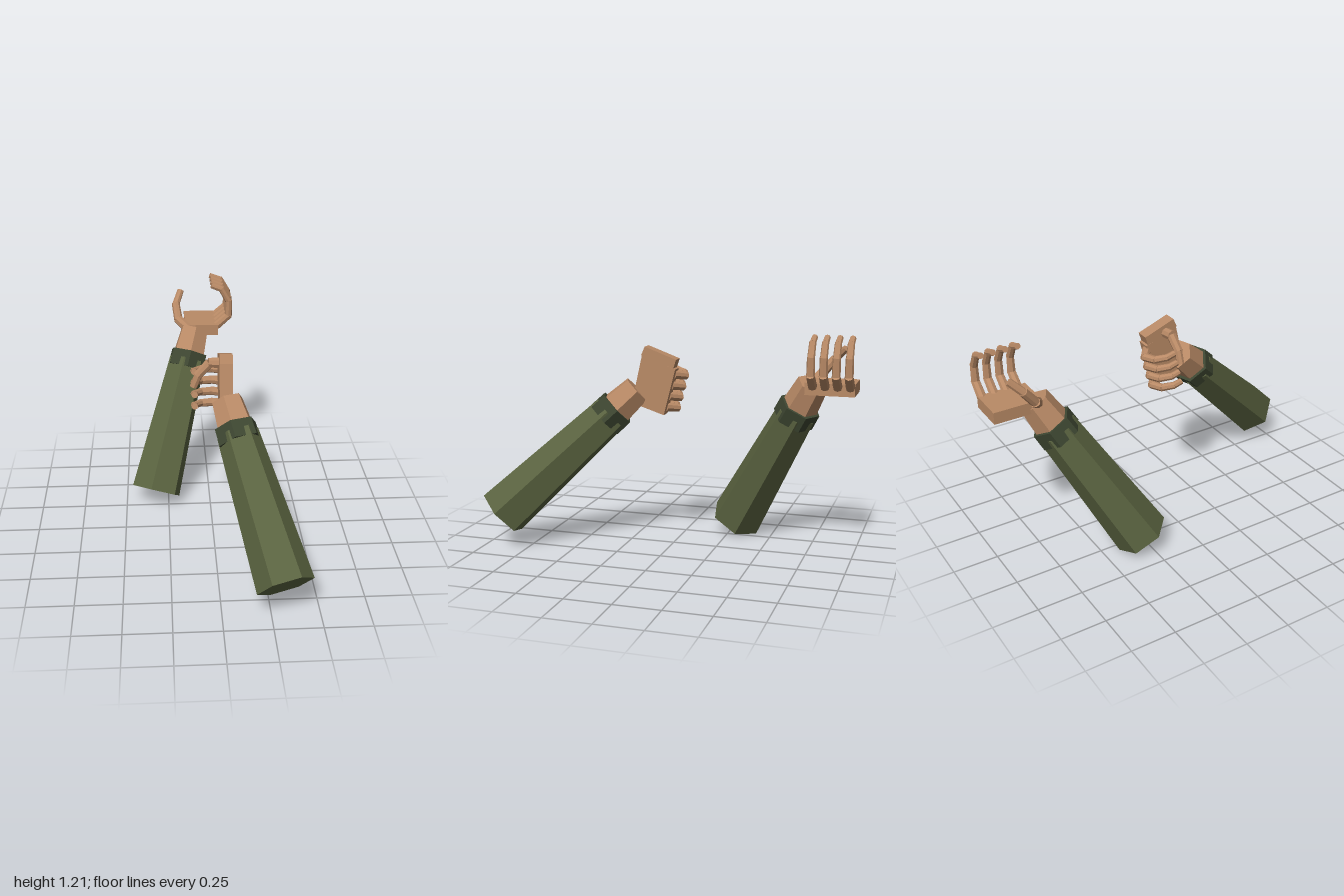
import * as THREE from 'three';

const material = (color) => new THREE.MeshStandardMaterial({ color, flatShading: true });
const V = (x, y, z) => new THREE.Vector3(x, y, z);

export function createModel() {
  const model = new THREE.Group();
  const skin = material(0xb98a66);
  const sleeveCloth = material(0x5a6340);
  const cuffCloth = material(0x3d4631);

  // Tapered prism from a to b, with one corner turned towards ref
  function prism(name, a, b, rA, rB, sides, ref, mat) {
    const axis = b.clone().sub(a);
    const geo = new THREE.CylinderGeometry(rB, rA, axis.length(), sides);
    axis.normalize();
    const z = ref.clone().addScaledVector(axis, -ref.dot(axis)).normalize();
    const x = axis.clone().cross(z);
    geo.applyMatrix4(new THREE.Matrix4().makeBasis(x, axis, z));
    const mid = a.clone().add(b).multiplyScalar(0.5);
    geo.translate(mid.x, mid.y, mid.z);
    const mesh = new THREE.Mesh(geo, mat);
    mesh.name = name;
    return mesh;
  }

  // Chain of short overlapping prisms for a finger or thumb
  function digit(name, points, r0, r1, ref) {
    const group = new THREE.Group();
    group.name = name;
    const n = points.length - 1;
    for (let i = 0; i < n; i++) {
      const a = points[i], b = points[i + 1];
      const over = b.clone().sub(a).setLength(i < n - 1 ? 0.008 : 0);
      const r = THREE.MathUtils.lerp(r0, r1, i / (n - 1));
      group.add(prism(name + 'Segment', a, b.clone().add(over), r, r * 0.92, 8, ref, skin));
    }
    return group;
  }

  // Sleeve, cuff and wrist along one forearm
  function forearm(side, elbow, cuffTop, corner) {
    const group = new THREE.Group();
    group.name = side + 'Forearm';
    const d = cuffTop.clone().sub(elbow).normalize();
    const level = V(-d.z, 0, d.x);
    const at = (t) => cuffTop.clone().addScaledVector(d, t);
    group.add(
      prism(side + 'Sleeve', elbow, at(-0.045), 0.15, 0.111, 6, corner, sleeveCloth),
      prism(side + 'Cuff', at(-0.095), cuffTop, 0.118, 0.116, 6, level, cuffCloth),
      prism(side + 'Wrist', at(-0.01), at(0.148), 0.1, 0.086, 6, level, skin));
    return group;
  }

  // Flat plate drawn as [-z, y] corners and thickened along x
  function plate(name, corners, x, depth) {
    const shape = new THREE.Shape(corners.map(([u, v]) => new THREE.Vector2(u, v)));
    const geo = new THREE.ExtrudeGeometry(shape, { depth, bevelEnabled: false });
    geo.rotateY(Math.PI / 2).translate(x, 0, 0);
    const mesh = new THREE.Mesh(geo, skin);
    mesh.name = name;
    return mesh;
  }

  // Right arm: open hand with the palm up
  const right = new THREE.Group();
  right.name = 'rightArm';
  right.add(forearm('right', V(-0.323, 0.083, -0.285), V(-0.105, 0.81, -0.685), V(-0.138, 0.055, 0.025)));
  right.add(plate('rightPalm', [[0.734, 0.9], [0.996, 0.9], [0.996, 0.965], [0.734, 0.965]], -0.127, 0.2));
  const openCurl = [[0.065, 0.945], [0.138, 1.01], [0.14, 1.1], [0.098, 1.175], [0.035, 1.2]];
  for (let i = 0; i < 4; i++) {
    const z = -0.775 - i * 0.0655;
    right.add(digit('rightFinger', openCurl.map(([x, y]) => V(x, y, z)), 0.025, 0.018, V(0, 0, 1)));
  }
  right.add(digit('rightThumb', [
    V(-0.09, 0.925, -0.735), V(-0.165, 0.985, -0.79), V(-0.178, 1.06, -0.85), V(-0.147, 1.125, -0.915),
  ], 0.03, 0.022, V(0, 0, 1)));
  model.add(right);

  // Left arm: upright hand with the fingers curled inwards
  const left = new THREE.Group();
  left.name = 'leftArm';
  left.add(forearm('left', V(0.315, 0.192, 0.902), V(0.103, 0.785, 0.292), V(-0.08, 0.076, 0.102)));
  left.add(plate('leftPalm', [[-0.209, 0.814], [-0.027, 0.755], [0.0375, 1.007], [-0.15, 1.077]], 0.028, 0.07));
  left.add(plate('leftPalmEdge', [[-0.155, 1.077], [0.027, 1.012], [0.043, 1.06], [-0.134, 1.125]], 0.028, 0.07));
  const reach = V(0, -0.25, -0.97);
  // Pairs of x and distance along the reach direction
  const closedCurl = [[0.055, -0.01], [0.0, 0.038], [-0.065, 0.015], [-0.1, -0.04], [-0.1, -0.09]];
  for (let i = 0; i < 4; i++) {
    const t = 0.1 + i * 0.262;
    const base = V(0, THREE.MathUtils.lerp(0.995, 0.765, t), THREE.MathUtils.lerp(-0.034, 0.024, t));
    const points = closedCurl.map(([x, f]) => base.clone().addScaledVector(reach, f).setX(x));
    left.add(digit('leftFinger', points, 0.025, 0.019, V(0, 1, -0.25)));
  }
  left.add(digit('leftThumb', [
    V(0.05, 1.055, 0.085), V(-0.02, 1.06, 0.09), V(-0.08, 0.995, 0.095), V(-0.107, 0.925, 0.095),
  ], 0.03, 0.022, V(0, 0, 1)));
  model.add(left);

  return model;
}
